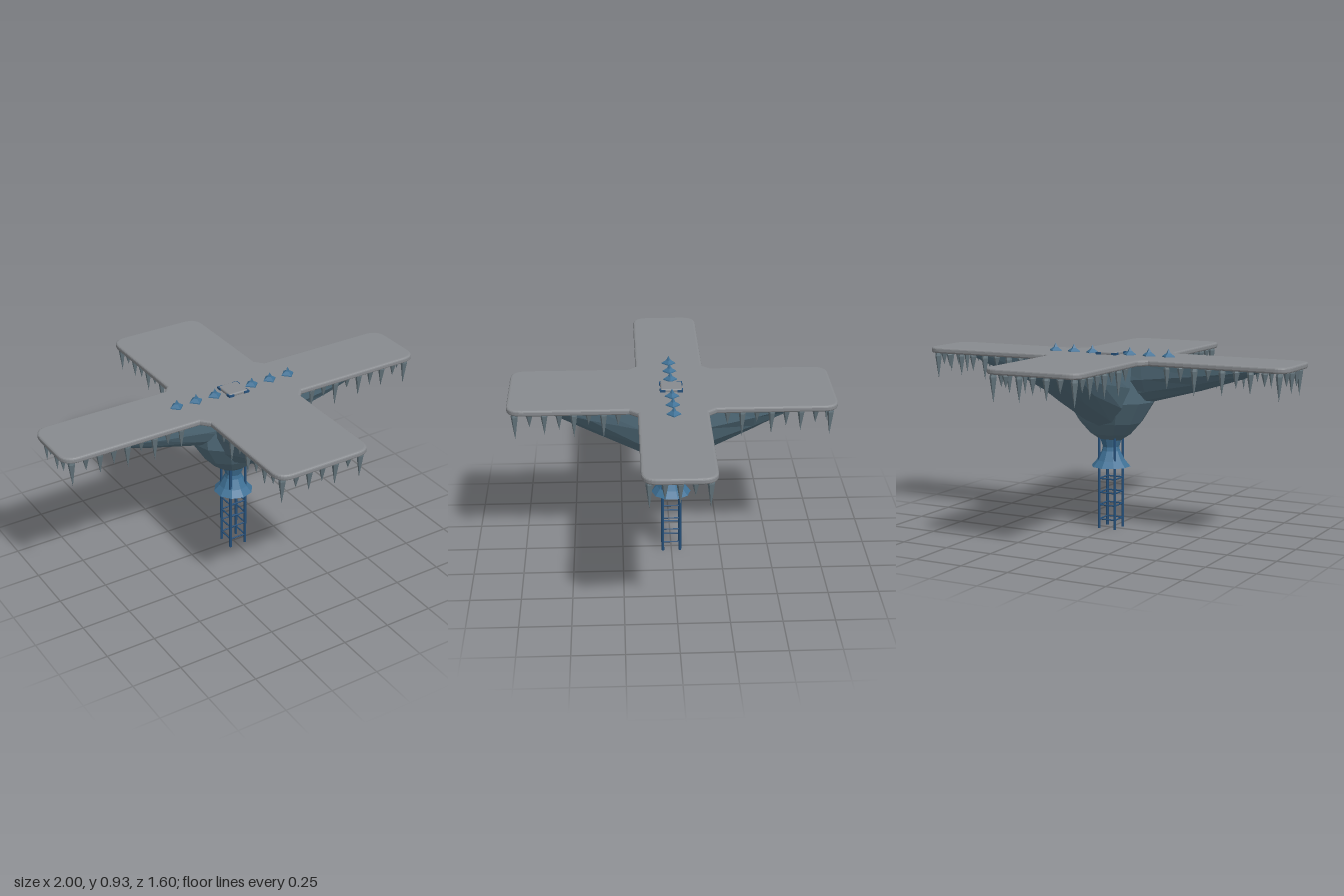
import * as THREE from 'three';
import { RoundedBoxGeometry } from 'three/addons/geometries/RoundedBoxGeometry.js';

const mat = (name, color, opts = {}) => {
  const m = new THREE.MeshStandardMaterial({ color, ...opts });
  m.name = name;
  return m;
};

export function createModel() {
  const deckGrey = mat('deck grey', 0x888b8f);
  const hullBlue = mat('hull slate blue', 0x567281, { flatShading: true });
  const collarBlue = mat('collar steel blue', 0x3f7196, { flatShading: true, side: THREE.DoubleSide });
  const ladderBlue = mat('ladder dark blue', 0x25507a);
  const spikeGrey = mat('spike grey blue', 0x66777f, { flatShading: true });

  const model = new THREE.Group();
  const add = (name, geo, material, x = 0, y = 0, z = 0, parent = model) => {
    const m = new THREE.Mesh(geo, material);
    m.name = name;
    m.position.set(x, y, z);
    parent.add(m);
    return m;
  };
  const group = (name) => {
    const g = new THREE.Group();
    g.name = name;
    model.add(g);
    return g;
  };
  const lathe = (pts, sides) => new THREE.LatheGeometry(pts.map(([r, y]) => new THREE.Vector2(r, y)), sides);

  // Cross-shaped deck: [x, z, corner radius] for one quadrant, mirrored into four
  const quadrant = [[1, 0.17, 0.08], [0.29, 0.17, 0], [0.255, 0.21, 0], [0.255, 0.8, 0.08]];
  const outline = [[1, 1], [-1, 1], [-1, -1], [1, -1]].flatMap(([sx, sy], q) => {
    const pts = quadrant.map(([x, y, r]) => [x * sx, y * sy, r]);
    return q % 2 ? pts.reverse() : pts;
  });
  const deckShape = new THREE.Shape();
  outline.forEach(([x, y, r], i) => {
    const n = outline.length;
    const toward = (o) => {
      const dx = o[0] - x, dy = o[1] - y, l = Math.hypot(dx, dy);
      return [x + dx / l * r, y + dy / l * r];
    };
    const a = toward(outline[(i + n - 1) % n]);
    const b = toward(outline[(i + 1) % n]);
    if (i === 0) deckShape.moveTo(...a); else deckShape.lineTo(...a);
    if (r > 0) deckShape.quadraticCurveTo(x, y, ...b);
  });
  deckShape.closePath();
  const deckGeo = new THREE.ExtrudeGeometry(deckShape, {
    depth: 0.012, bevelThickness: 0.009, bevelSize: 0.012, bevelOffset: -0.012, bevelSegments: 3, curveSegments: 8,
  });
  deckGeo.rotateX(-Math.PI / 2);
  add('deck', deckGeo, deckGrey, 0, 0.869, 0);

  // Faceted central bowl
  const bowl = lathe([[0.055, 0.455], [0.11, 0.49], [0.165, 0.55], [0.235, 0.66], [0.252, 0.77], [0.248, 0.865]], 12);
  bowl.scale(1, 1, 0.82);
  add('centralBowl', bowl, hullBlue);

  // Keel under each arm, lofted from half-round sections [distance, half width, bottom]
  const keel = (sections) => {
    const top = 0.865, seg = 8, pos = [], idx = [];
    sections.forEach(([d, w, bottom], i) => {
      for (let j = 0; j <= seg; j++) {
        const t = Math.PI * j / seg;
        pos.push(w * Math.cos(t), top - (top - bottom) * Math.sin(t), d);
        if (i < sections.length - 1 && j < seg) {
          const a = i * (seg + 1) + j, c = a + seg + 1;
          idx.push(a, c, a + 1, a + 1, c, c + 1);
        }
      }
    });
    const g = new THREE.BufferGeometry();
    g.setAttribute('position', new THREE.Float32BufferAttribute(pos, 3));
    g.setIndex(idx);
    g.computeVertexNormals();
    return g;
  };
  const longKeel = keel([[0, 0.15, 0.6], [0.24, 0.15, 0.665], [0.5, 0.13, 0.735], [0.72, 0.1, 0.805], [0.8, 0.075, 0.84], [0.83, 0.05, 0.865]]);
  const wideKeel = keel([[0, 0.19, 0.48], [0.15, 0.19, 0.552], [0.4, 0.175, 0.68], [0.57, 0.15, 0.77], [0.66, 0.12, 0.83], [0.69, 0.08, 0.865]]);
  for (let k = 0; k < 4; k++) {
    add(k % 2 ? 'sideKeel' : 'frontBackKeel', k % 2 ? longKeel : wideKeel, hullBlue).rotation.y = k * Math.PI / 2;
  }

  // Flared collar
  add('collar', lathe([[0.1, 0.32], [0.072, 0.352], [0.046, 0.4], [0.042, 0.42], [0.058, 0.47]], 10), collarBlue);

  // Ladder tower: four posts and square rings of rungs
  const ladder = group('ladderTower');
  const post = new THREE.CylinderGeometry(0.007, 0.007, 0.47, 8);
  const rung = new THREE.CylinderGeometry(0.004, 0.004, 0.09, 6);
  for (const sx of [-1, 1]) {
    for (const sz of [-1, 1]) add('post', post, ladderBlue, sx * 0.044, 0.235, sz * 0.044, ladder);
  }
  for (const y of [0.048, 0.122, 0.186, 0.258]) {
    for (const s of [-1, 1]) {
      add('rung', rung, ladderBlue, 0, y, s * 0.044, ladder).rotation.z = Math.PI / 2;
      add('rung', rung, ladderBlue, s * 0.044, y, 0, ladder).rotation.x = Math.PI / 2;
    }
  }

  // Hanging spikes along the rim of each arm
  const spikes = group('hangingSpikes');
  const spikeGeos = [0.14, 0.075, 0.115, 0.09, 0.13, 0.065].map((l) =>
    lathe([[0, -l], [0.009, -l * 0.55], [0.017, -l * 0.14], [0.013, 0]], 6));
  let count = 0;
  const spike = (x, z) => add('spike', spikeGeos[count++ % 6], spikeGrey, x, 0.864, z, spikes);
  for (const s of [-1, 1]) {
    for (const e of [-1, 1]) {
      count = 0;
      for (let i = 0; i < 9; i++) spike(s * (0.95 - i * 0.072), e * 0.135);
      count = 0;
      for (let i = 0; i < 8; i++) spike(e * 0.215, s * (0.76 - i * 0.071));
    }
    count = 1;
    for (let i = -1; i <= 1; i++) spike(s * 0.96, i * 0.067);
    count = 1;
    for (let i = -2; i <= 2; i++) spike(i * 0.072, s * 0.765);
  }

  // Pointed studs on the deck
  const stud = lathe([[0.036, 0], [0.034, 0.006], [0.012, 0.02], [0, 0.042]], 4);
  for (const s of [-1, 1]) {
    for (const x of [0.106, 0.212, 0.319]) add('stud', stud, collarBlue, s * x, 0.889, 0);
  }

  // Square hatch with blue corner brackets
  add('hatchLid', new RoundedBoxGeometry(0.106, 0.02, 0.106, 3, 0.008), deckGrey, 0, 0.895, 0);
  const bracket = new THREE.BoxGeometry(0.028, 0.012, 0.028);
  for (const sx of [-1, 1]) {
    for (const sz of [-1, 1]) add('hatchBracket', bracket, ladderBlue, sx * 0.043, 0.895, sz * 0.043);
  }
  return model;
}
